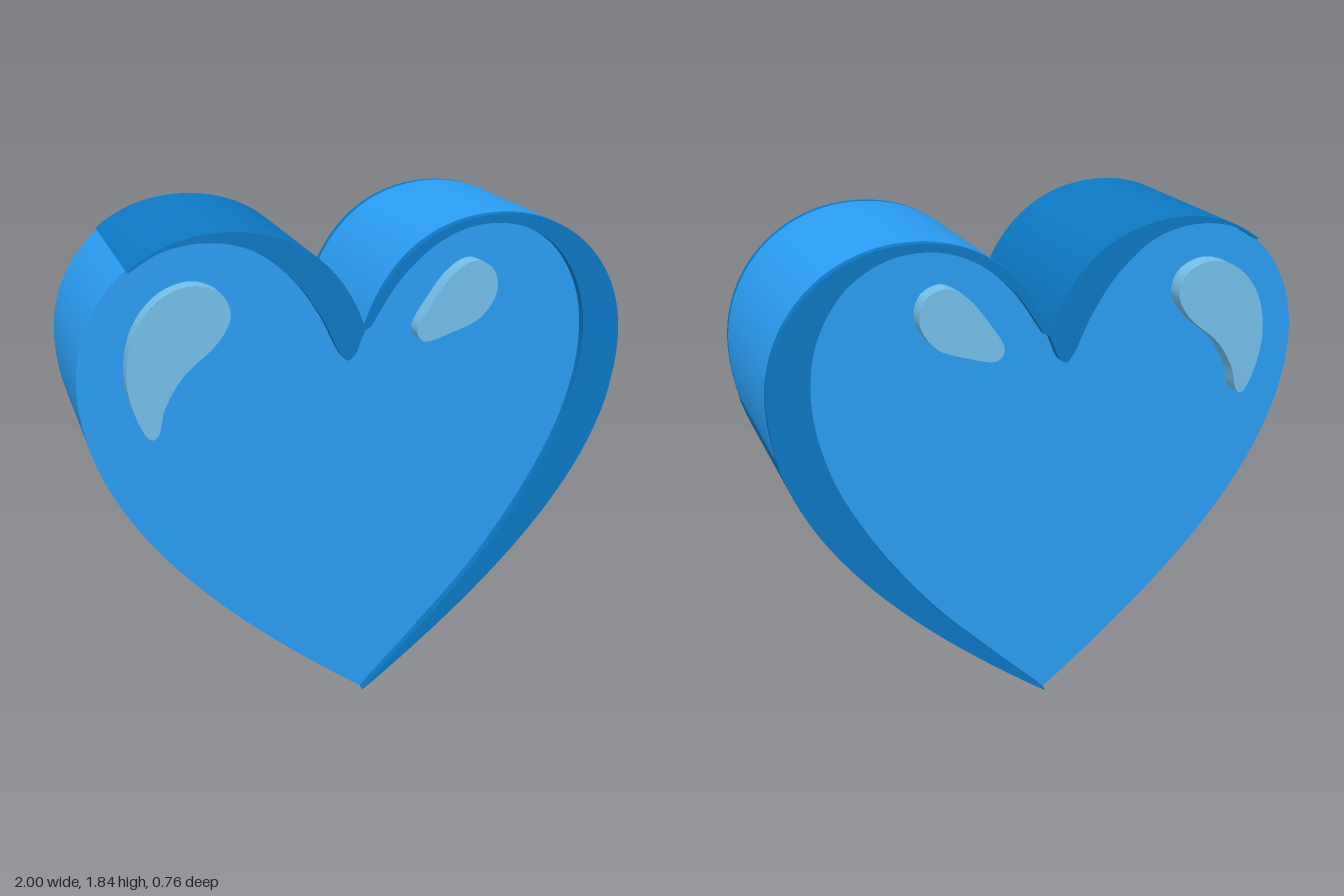
import * as THREE from 'three';
import { toCreasedNormals } from 'three/addons/utils/BufferGeometryUtils.js';

const v = (x, y) => new THREE.Vector2(x, y);

// Smooth curve through a few points
function smooth(pairs, closed, count) {
  const pts = pairs.map(([x, y]) => new THREE.Vector3(x, y, 0));
  return new THREE.CatmullRomCurve3(pts, closed).getPoints(count).map((p) => v(p.x, p.y));
}

// Flat plate of the given outline, centred on z = 0
function plate(name, points, halfDepth, color) {
  const geo = new THREE.ExtrudeGeometry(new THREE.Shape(points), {
    depth: halfDepth * 2, bevelEnabled: false, steps: 1,
  });
  geo.translate(0, 0, -halfDepth);
  const mesh = new THREE.Mesh(
    toCreasedNormals(geo, 0.5),
    new THREE.MeshStandardMaterial({ color, side: THREE.DoubleSide }),
  );
  mesh.name = name;
  return mesh;
}

// Half of the heart outline, from the cleft over the lobe to the tip
function halfHeart() {
  const path = new THREE.Path();
  path.moveTo(0, 1.46);
  path.bezierCurveTo(0.08, 1.7, 0.25, 1.835, 0.5, 1.835);
  path.bezierCurveTo(0.78, 1.835, 1, 1.62, 1, 1.33);
  path.bezierCurveTo(1, 0.8, 0.45, 0.34, 0, 0);
  return path.getPoints(28);
}

// Push a point slightly in or out from the middle of its lobe
function nudge(p, s) {
  const cx = p.x > 0 ? 0.5 : -0.5;
  return v(cx + (p.x - cx) * s, 1.33 + (p.y - 1.33) * s);
}

export function createModel() {
  const group = new THREE.Group();
  group.name = 'heart';
  const light = 0x2a9df4, dark = 0x0c78c4, pale = 0x74bfea;

  // Main heart body
  const right = halfHeart();
  const left = right.map((p) => v(-p.x, p.y));
  group.add(plate('heartBody', [...right, ...left.slice(1, -1).reverse()], 0.315, light));

  // Shade over the left lobe, dipping below the cleft
  const leftOuter = left
    .filter((p) => p.x > -0.83 && p.y > 1.4)
    .map((p) => (p.x === 0 ? v(0, 1.46) : nudge(p, 1.003)));
  const leftInner = smooth([
    [-0.81, 1.725], [-0.7, 1.785], [-0.55, 1.805], [-0.4, 1.77], [-0.26, 1.66], [-0.16, 1.52],
    [-0.09, 1.38], [-0.065, 1.355], [-0.04, 1.37], [-0.015, 1.425],
  ], false, 50);
  group.add(plate('leftLobeShade', [...leftOuter, ...leftInner], 0.345, dark));

  // Shade crescent down the right side
  const rightOuter = right.map((p) => {
    if (p.x < 0.001) return p.clone();
    return nudge(p, p.y > 1.15 ? 0.997 : 1.003);
  });
  const rightInner = smooth([
    [0.03, 0.035], [0.24, 0.25], [0.45, 0.48], [0.66, 0.78], [0.8, 1.07], [0.85, 1.33],
    [0.82, 1.54], [0.72, 1.7], [0.58, 1.785], [0.42, 1.8], [0.27, 1.75],
    [0.13, 1.632], [0.02, 1.47],
  ], false, 70);
  group.add(plate('rightShade', [...rightOuter, ...rightInner], 0.345, dark));

  // Glossy highlights, standing out on both faces
  const longHighlight = smooth([
    [-0.6, 1.675], [-0.51, 1.635], [-0.485, 1.56], [-0.53, 1.475], [-0.655, 1.365], [-0.72, 1.26],
    [-0.748, 1.165], [-0.772, 1.155], [-0.815, 1.23], [-0.843, 1.38], [-0.805, 1.54], [-0.71, 1.645],
  ], true, 60);
  const shortHighlight = smooth([
    [0.39, 1.682], [0.46, 1.65], [0.48, 1.57], [0.425, 1.48], [0.31, 1.43],
    [0.205, 1.408], [0.18, 1.445], [0.245, 1.56], [0.315, 1.645],
  ], true, 50);
  group.add(plate('leftHighlight', longHighlight, 0.378, pale));
  group.add(plate('rightHighlight', shortHighlight, 0.378, pale));

  return group;
}
